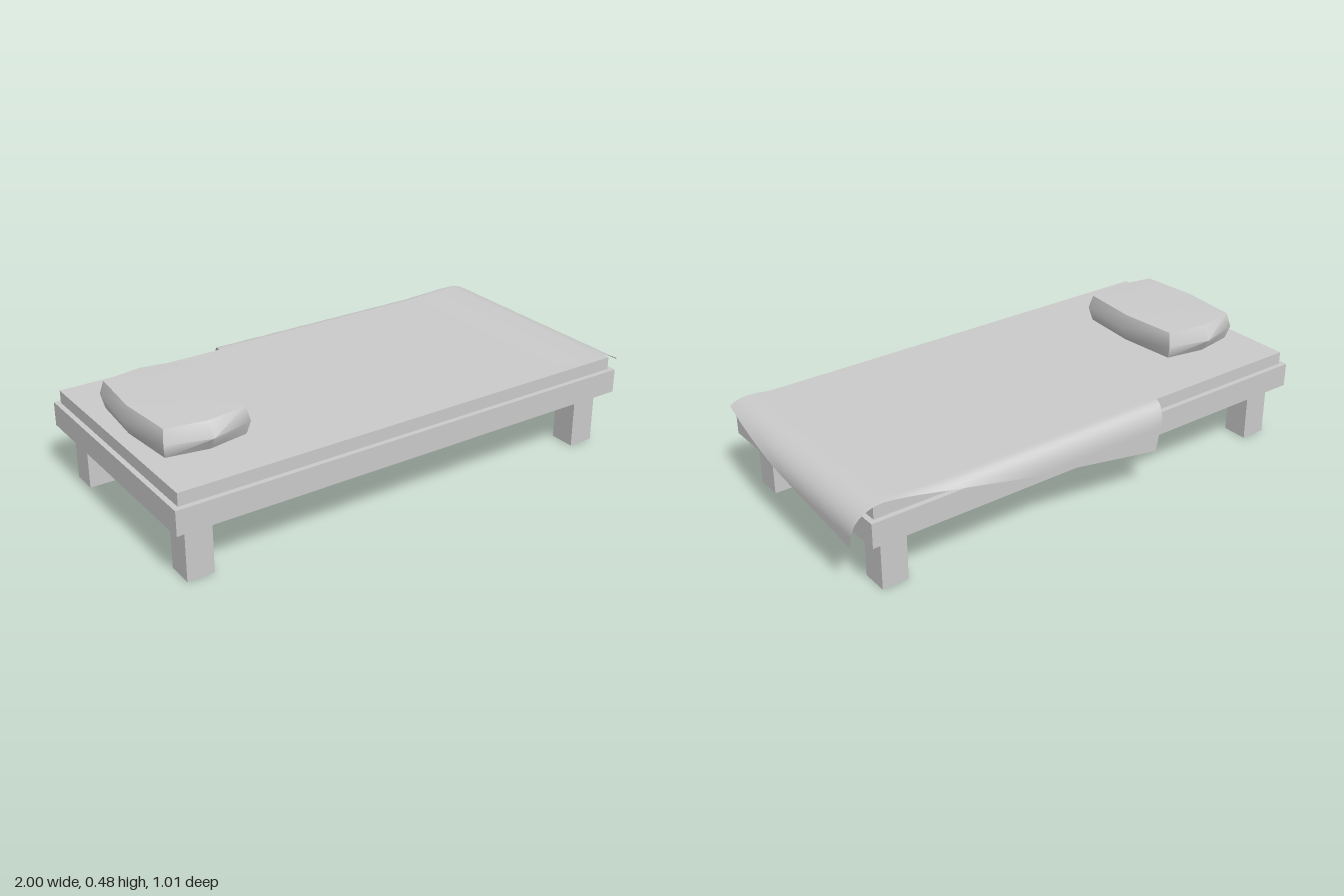
import * as THREE from 'three';
import { toCreasedNormals } from 'three/addons/utils/BufferGeometryUtils.js';

const material = new THREE.MeshStandardMaterial({ color: 0xcccccc });
const clothMaterial = new THREE.MeshStandardMaterial({ color: 0xcccccc, side: THREE.DoubleSide });

// Box given by its two extents on each axis
function box(name, [x0, x1], [y0, y1], [z0, z1]) {
  const mesh = new THREE.Mesh(new THREE.BoxGeometry(x1 - x0, y1 - y0, z1 - z0), material);
  mesh.position.set((x0 + x1) / 2, (y0 + y1) / 2, (z0 + z1) / 2);
  mesh.name = name;
  return mesh;
}

// Eight-sided cushion: three outlines stacked, closed by shallow fans
function createPillow() {
  const narrow = { side: 0.178, end: 0.26, cornerX: 0.158, cornerZ: 0.232 };
  const wide = { side: 0.2, end: 0.295, cornerX: 0.168, cornerZ: 0.248 };
  const outline = (o, y) => [
    [o.side, 0], [o.cornerX, o.cornerZ], [0, o.end], [-o.cornerX, o.cornerZ],
    [-o.side, 0], [-o.cornerX, -o.cornerZ], [0, -o.end], [o.cornerX, -o.cornerZ],
  ].map(([x, z]) => [x, y, z]);
  const rings = [outline(narrow, 0), outline(wide, 0.053), outline(narrow, 0.108)];
  const top = [0, 0.115, 0], bottom = [0, 0, 0];
  const positions = [];
  const triangle = (...points) => points.forEach((p) => positions.push(...p));
  for (let i = 0; i < 8; i++) {
    const j = (i + 1) % 8;
    for (let k = 0; k < 2; k++) {
      const lower = rings[k], upper = rings[k + 1];
      triangle(lower[i], upper[i], lower[j]);
      triangle(lower[j], upper[i], upper[j]);
    }
    triangle(top, rings[2][j], rings[2][i]);
    triangle(bottom, rings[0][i], rings[0][j]);
  }
  const geometry = new THREE.BufferGeometry();
  geometry.setAttribute('position', new THREE.Float32BufferAttribute(positions, 3));
  const mesh = new THREE.Mesh(toCreasedNormals(geometry, 0.9), material);
  mesh.position.set(-0.745, 0.361, 0.02);
  mesh.name = 'pillow';
  return mesh;
}

// Roll cloth over an edge: quarter ellipse, then straight down
function roll(excess, out, drop, slack) {
  if (excess <= 0) return [0, 0];
  const quarter = (Math.PI / 4) * (out + drop);
  const angle = Math.min(excess / quarter, 1) * Math.PI / 2;
  const hang = Math.max(excess - quarter, 0) * slack;
  return [out * Math.sin(angle), drop * (1 - Math.cos(angle)) + hang];
}

// Blanket lying askew, hanging over the foot end and the back edge
function createBlanket() {
  const headFront = new THREE.Vector2(-0.44, 0.22), footFront = new THREE.Vector2(0.967, 0.495);
  const headBack = new THREE.Vector2(-0.265, -0.66), footBack = new THREE.Vector2(1.146, -0.42);
  const footEdge = 0.88, backEdge = -0.455;
  const geometry = new THREE.PlaneGeometry(1, 1, 60, 44);
  const position = geometry.attributes.position;
  for (let i = 0; i < position.count; i++) {
    const u = position.getX(i) + 0.5, v = position.getY(i) + 0.5;
    const front = headFront.clone().lerp(footFront, u);
    const flat = front.lerp(headBack.clone().lerp(footBack, u), v);
    const [dx, dropFoot] = roll(flat.x - footEdge, 0.12, 0.1, 0.6);
    const [dz, dropBack] = roll(backEdge - flat.y, 0.05, 0.08, 1);
    const lift = 0.009 * THREE.MathUtils.smoothstep(flat.x, 0.6, footEdge);
    position.setXYZ(i,
      Math.min(flat.x, footEdge) + dx,
      0.364 + lift - dropFoot - dropBack,
      Math.max(flat.y, backEdge) - dz);
  }
  geometry.computeVertexNormals();
  const mesh = new THREE.Mesh(geometry, clothMaterial);
  mesh.name = 'blanket';
  return mesh;
}

export function createModel() {
  const bed = new THREE.Group();
  bed.name = 'bed';

  // Frame and mattress
  bed.add(box('frame', [-1, 0.94], [0.215, 0.31], [-0.465, 0.505]));
  bed.add(box('mattress', [-0.98, 0.92], [0.31, 0.36], [-0.445, 0.485]));

  // Four square legs
  for (const x of [-0.95, 0.78]) {
    for (const z of [-0.415, 0.355]) {
      bed.add(box('leg', [x, x + 0.104], [0, 0.215], [z, z + 0.104]));
    }
  }

  bed.add(createPillow(), createBlanket());
  return bed;
}
